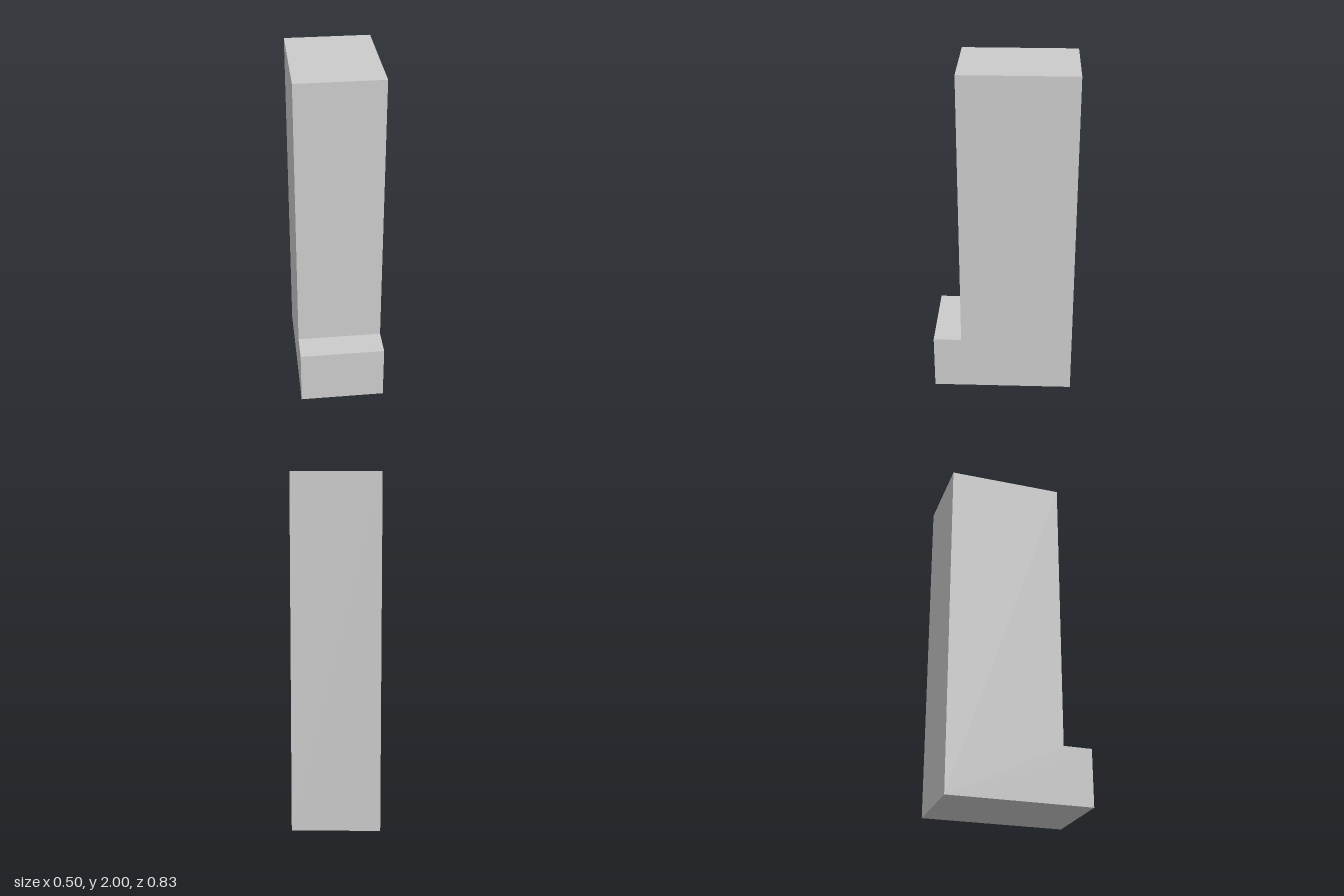
import * as THREE from 'three';

const WIDTH = 0.5;

export function createModel() {
  const group = new THREE.Group();
  group.name = 'legWithFoot';

  // Side profile (z, y): tall upright with a short toe at the front
  const profile = new THREE.Shape([
    [-0.417, 0], [0.417, 0], [0.417, 0.333], [0.25, 0.333], [0.25, 2], [-0.417, 2],
  ].map(([z, y]) => new THREE.Vector2(z, y)));

  // Extruded across the width, then turned so the toe points to +z
  const geometry = new THREE.ExtrudeGeometry(profile, { depth: WIDTH, bevelEnabled: false });
  geometry.translate(0, 0, -WIDTH / 2);
  geometry.rotateY(-Math.PI / 2);

  const leg = new THREE.Mesh(
    geometry,
    new THREE.MeshStandardMaterial({ color: 0xcccccc, flatShading: true }),
  );
  leg.name = 'leg';
  group.add(leg);
  return group;
}
